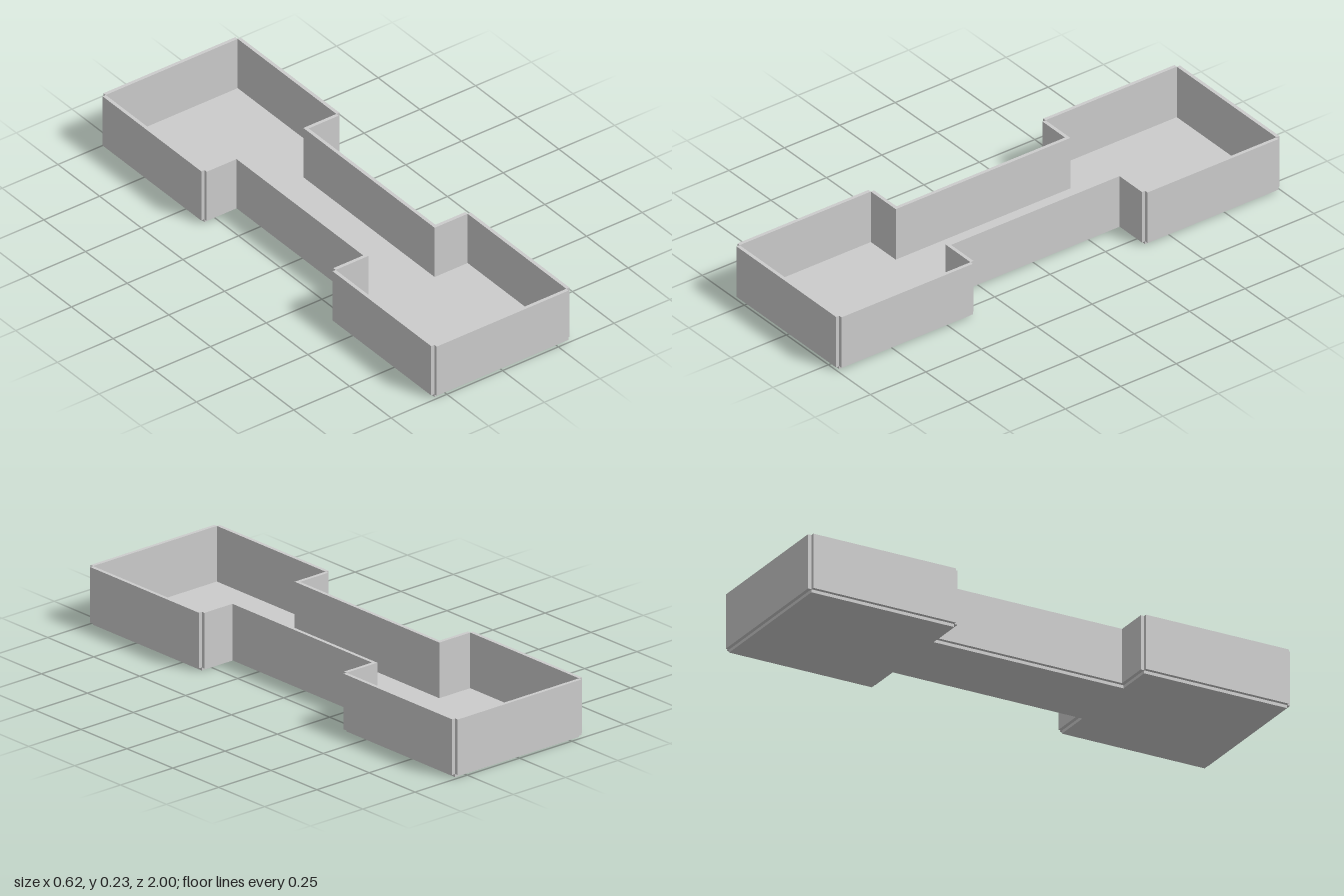
import * as THREE from 'three';

const T = 0.014;          // wall thickness
const FLOOR = 0.012;      // floor thickness
const TOP = 0.227;        // rim height
const HALF_W = 0.296;     // half width of the square end bays
const NECK_W = 0.148;     // half width of the narrow middle
const END_Z = 0.986;      // far edge of the floor
const NECK_Z = 0.394;     // where the bays meet the neck

export function createModel() {
  const group = new THREE.Group();
  const material = new THREE.MeshStandardMaterial({ color: 0xcccccc, flatShading: true });

  // Floor: dumbbell outline, extruded upward
  const half = [
    [NECK_W, -NECK_Z], [NECK_W, NECK_Z], [HALF_W, NECK_Z], [HALF_W, END_Z],
    [-HALF_W, END_Z], [-HALF_W, NECK_Z], [-NECK_W, NECK_Z],
  ];
  const outline = [...half.slice(1), ...half.slice(1).map(([x, z]) => [-x, -z])];
  const shape = new THREE.Shape(outline.map(([x, z]) => new THREE.Vector2(x, z)));
  const floorGeometry = new THREE.ExtrudeGeometry(shape, { depth: FLOOR, bevelEnabled: false });
  floorGeometry.rotateX(-Math.PI / 2);
  const floor = new THREE.Mesh(floorGeometry, material);
  floor.name = 'floor';
  group.add(floor);

  // Upright panel spanning x0..x1 and z0..z1, standing just outside the floor edge
  const addWall = (name, x0, x1, z0, z1) => {
    const wall = new THREE.Mesh(
      new THREE.BoxGeometry(Math.abs(x1 - x0), TOP - FLOOR, Math.abs(z1 - z0)), material);
    wall.position.set((x0 + x1) / 2, (TOP + FLOOR) / 2, (z0 + z1) / 2);
    wall.name = name;
    group.add(wall);
  };

  for (const [end, sz] of [['front', 1], ['back', -1]]) {
    addWall(`${end}EndWall`, -HALF_W, HALF_W, sz * END_Z, sz * (END_Z + T));
    for (const [side, sx] of [['Left', 1], ['Right', -1]]) {
      addWall(`${end}${side}BayWall`, sx * HALF_W, sx * (HALF_W + T), sz * NECK_Z, sz * END_Z);
      addWall(`${end}${side}ShoulderWall`, sx * (NECK_W + T), sx * HALF_W, sz * (NECK_Z - T), sz * NECK_Z);
    }
  }
  addWall('leftNeckWall', NECK_W, NECK_W + T, -NECK_Z, NECK_Z);
  addWall('rightNeckWall', -NECK_W - T, -NECK_W, -NECK_Z, NECK_Z);

  return group;
}
